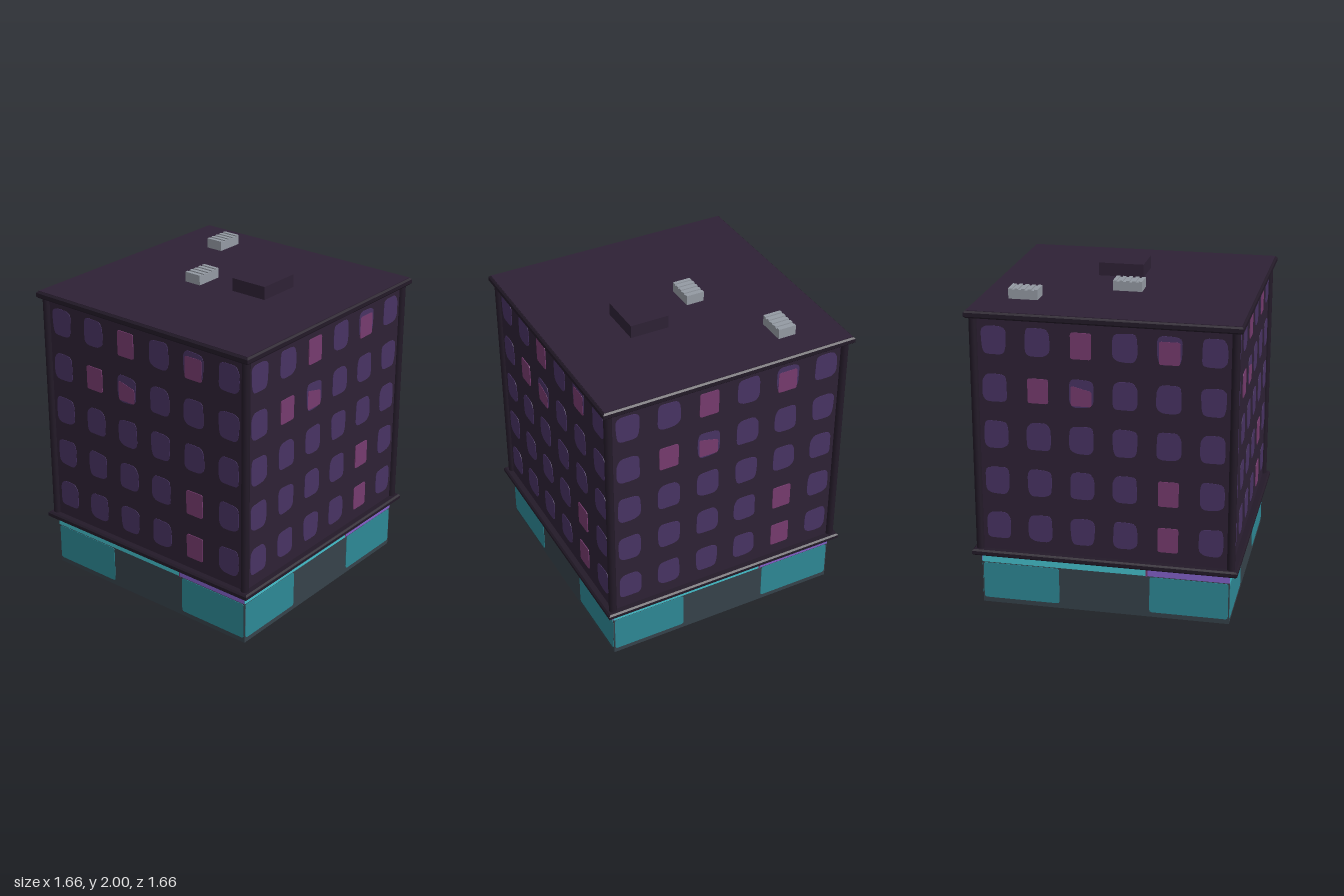
import * as THREE from 'three';

const paint = (name, color) => {
  const m = new THREE.MeshStandardMaterial({ color });
  m.name = name;
  return m;
};

export function createModel() {
  const mat = {
    wall: paint('plum wall', 0x2e2135),
    trim: paint('dark trim', 0x231a28),
    window: paint('violet window', 0x483363),
    lit: paint('lit window', 0x763b6e),
    shop: paint('slate shop wall', 0x36424a),
    glass: paint('teal shop glass', 0x2d8895),
    sign: paint('cyan sign band', 0x44bfcb),
    purple: paint('purple sign band', 0x8261c9),
    vent: paint('grey vent', 0x949aa3),
  };
  mat.shop.side = THREE.DoubleSide;

  const model = new THREE.Group();
  model.name = 'apartmentBlock';

  const add = (parent, name, geometry, material, x = 0, y = 0, z = 0) => {
    const mesh = new THREE.Mesh(geometry, material);
    mesh.name = name;
    mesh.position.set(x, y, z);
    parent.add(mesh);
    return mesh;
  };
  // box given by its limits on each axis
  const span = (parent, name, material, x0, x1, y0, y1, z0, z1) =>
    add(parent, name, new THREE.BoxGeometry(x1 - x0, y1 - y0, z1 - z0), material,
      (x0 + x1) / 2, (y0 + y1) / 2, (z0 + z1) / 2);
  // thin plate cut from a flat shape
  const plate = (shape, depth) =>
    new THREE.ExtrudeGeometry(shape, { depth, bevelEnabled: false, curveSegments: 4 });

  // quadrilateral with rounded corners; the top edge may slope
  const panelShape = (x0, x1, y0, topLeft, topRight, r) => {
    const corners = [[x0, y0], [x1, y0], [x1, topRight], [x0, topLeft]]
      .map(([x, y]) => new THREE.Vector2(x, y));
    const s = new THREE.Shape();
    corners.forEach((c, i) => {
      const before = corners[(i + 3) % 4], after = corners[(i + 1) % 4];
      const a = before.clone().sub(c).setLength(r).add(c);
      const b = after.clone().sub(c).setLength(r).add(c);
      if (i === 0) s.moveTo(a.x, a.y); else s.lineTo(a.x, a.y);
      s.quadraticCurveTo(c.x, c.y, b.x, b.y);
    });
    s.closePath();
    return s;
  };

  // hand-painted looking window: a soft square, slightly uneven
  const blobShape = (seed) => {
    const pts = [];
    for (let i = 0; i < 28; i++) {
      const a = (i / 28) * Math.PI * 2;
      const c = Math.cos(a), s = Math.sin(a);
      const wobble = 1 + 0.025 * Math.sin(a * 3 + seed * 1.7) + 0.015 * Math.sin(a * 5 + seed * 2.9);
      pts.push(new THREE.Vector2(
        Math.sign(c) * Math.abs(c) ** 0.5 * 0.075 * wobble,
        Math.sign(s) * Math.abs(s) ** 0.5 * 0.088 * wobble));
    }
    return new THREE.Shape(pts);
  };

  // square ledge with chamfered edges
  const ledge = (name, y0, y1) => {
    const k = Math.SQRT2, c = 0.01;
    const profile = [[0, y0], [0.82, y0], [0.83, y0 + c], [0.83, y1 - c], [0.82, y1], [0, y1]]
      .map(([r, y]) => new THREE.Vector2(r * k, y));
    const g = new THREE.LatheGeometry(profile, 4).rotateY(Math.PI / 4).toNonIndexed();
    g.computeVertexNormals();
    add(model, name, g, mat.trim);
  };

  // main block, ledges and roof
  const W = 0.785;
  span(model, 'upperWalls', mat.wall, -W, W, 0.36, 1.89, -W, W);
  ledge('lowerLedge', 0.335, 0.375);
  ledge('roofLedge', 1.87, 1.914);
  span(model, 'roofDeck', mat.wall, -0.817, 0.817, 1.91, 1.917, -0.817, 0.817);

  // corner posts
  for (const x of [-W, W]) for (const z of [-W, W])
    add(model, 'cornerPost', new THREE.CylinderGeometry(0.025, 0.025, 1.51, 10), mat.trim, x, 1.1225, z);

  // windows: row and column, then the lit pane's bottom, top left and top right
  const rows = [1.735, 1.434, 1.138, 0.839, 0.537];
  const lit = {
    '0,2': [-0.088, 0.075, 0.075],
    '0,4': [-0.088, 0.053, 0.053, true],
    '1,1': [-0.08, 0.075, 0.075],
    '1,2': [-0.08, 0.047, 0.016, true],
    '3,4': [-0.088, 0.073, 0.073],
    '4,4': [-0.087, 0.073, 0.073],
  };

  // one side of the building, repeated four times
  const B = 0.779;
  for (let side = 0; side < 4; side++) {
    const face = new THREE.Group();
    face.name = 'facade';
    face.rotation.y = side * Math.PI / 2;
    model.add(face);

    rows.forEach((y, r) => {
      for (let c = 0; c < 6; c++) {
        const x = (c - 2.5) * 0.2646;
        const pane = lit[`${r},${c}`];
        if (!pane || pane[3])
          add(face, 'window', plate(blobShape(r * 6 + c), 0.003), mat.window, x, y, W);
        if (pane)
          add(face, 'litWindow', plate(panelShape(-0.063, 0.063, pane[0], pane[1], pane[2], 0.015), 0.005),
            mat.lit, x, y, W);
      }
    });

    // open ground floor: thin wall with panels that show on both faces
    add(face, 'shopWall', new THREE.PlaneGeometry(B * 2, 0.34), mat.shop, 0, 0.17, B);
    const d = 0.003;
    for (const [x0, x1] of [[-0.772, -0.288], [0.283, 0.772]])
      add(face, 'shopWindow', plate(panelShape(x0, x1, 0.032, 0.271, 0.271, 0.018), d * 2),
        mat.glass, 0, 0, B - d);
    span(face, 'signBand', mat.sign, -B, 0.26, 0.277, 0.34, B - d, B + d);
    span(face, 'purpleSign', mat.purple, 0.27, B, 0.277, 0.34, B - d, B + d);
    span(face, 'signDivider', mat.lit, 0.26, 0.27, 0.27, 0.34, B - d, B + d);
  }

  // roof hatch and two ridged vents
  span(model, 'roofHatch', mat.wall, -0.067, 0.222, 1.91, 2, 0.104, 0.354);
  for (const [x, z] of [[-0.032, -0.168], [0.546, -0.472]]) {
    span(model, 'roofVent', mat.vent, x - 0.091, x + 0.091, 1.91, 1.974, z - 0.058, z + 0.058);
    for (let i = -2; i <= 2; i++)
      span(model, 'ventSlat', mat.vent, x + i * 0.04 - 0.011, x + i * 0.04 + 0.011,
        1.97, 1.981, z - 0.058, z + 0.058);
  }
  return model;
}
